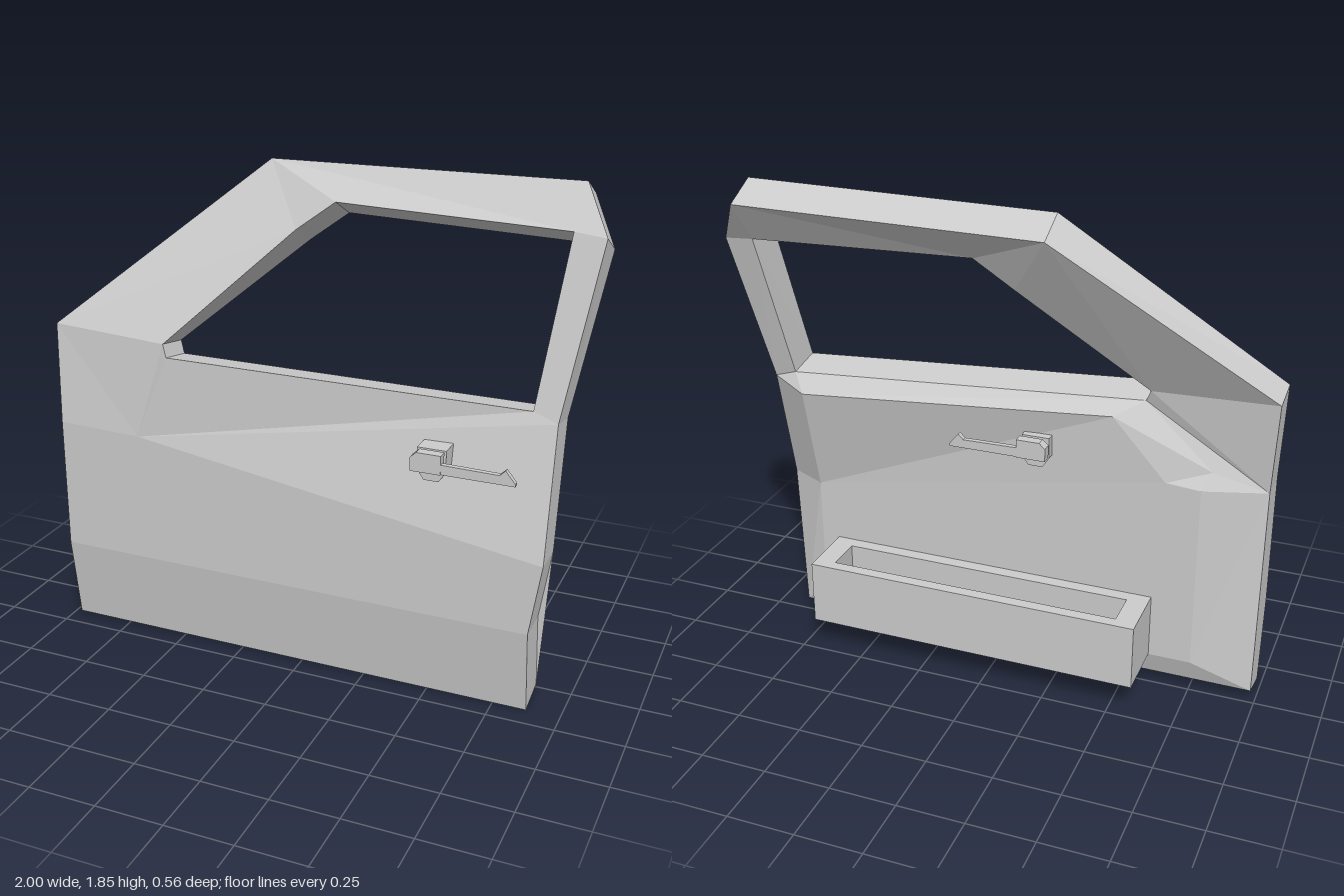
import * as THREE from 'three';

const material = new THREE.MeshStandardMaterial({ color: 0xcccccc, flatShading: true });

function addMesh(parent, name, geometry) {
  const mesh = new THREE.Mesh(geometry, material);
  mesh.name = name;
  parent.add(mesh);
  return mesh;
}

// Turns convex polygons (lists of points) into a flat shaded geometry
function polygons(faces) {
  const pos = [];
  for (const f of faces)
    for (let i = 1; i < f.length - 1; i++) pos.push(...f[0], ...f[i], ...f[i + 1]);
  const g = new THREE.BufferGeometry();
  g.setAttribute('position', new THREE.Float32BufferAttribute(pos, 3));
  g.computeVertexNormals();
  return g;
}

function extrude(points, depth, z = 0, hole = null) {
  const shape = new THREE.Shape(points.map(p => new THREE.Vector2(...p)));
  if (hole) shape.holes.push(new THREE.Path(hole.map(p => new THREE.Vector2(...p))));
  return new THREE.ExtrudeGeometry(shape, { depth, bevelEnabled: false }).translate(0, 0, z);
}

const rect = (x0, y0, x1, y1) => [[x0, y0], [x1, y0], [x1, y1], [x0, y1]];

// Moves each point back through the door thickness: [dy, dz] per point
const inward = (pts, offsets) => pts.map((p, i) => [p[0], p[1] + offsets[i][0], p[2] + offsets[i][1]]);

// Walls joining an outer loop to its inner loop
const walls = (a, b) => a.map((p, i) => {
  const j = (i + 1) % a.length;
  return [p, a[j], b[j], b[i]];
});

// Window frame faces, shared by the outer and inner skins
const frame = (a, w) => [
  [a[3], w[1], w[2], a[4]], [a[4], w[2], w[3]], [a[4], w[3], w[4], a[5]],
  [a[5], w[4], a[6]], [a[6], w[4], w[5], a[7]],
];

function buildDoor(group) {
  // Outer outline, clockwise from the lower front corner
  const A = [
    [-0.98, 0, 0.165], [-0.98, 0.33, 0.21], [-0.98, 0.84, 0.21], [-1, 1.22, 0.17],
    [-0.25, 1.84, -0.15], [0.9, 1.85, -0.15], [1, 1.69, -0.04], [0.91, 1.08, 0.1],
    [0.915, 0.6, 0.21], [0.875, 0.33, 0.21], [0.875, 0, 0.165],
  ];
  // Window opening, clockwise from its lower front corner
  const W = [
    [-0.52, 1.155, 0.2], [-0.54, 1.2, 0.185], [-0.1, 1.62, -0.02],
    [0.04, 1.725, -0.05], [0.885, 1.7, -0.05], [0.82, 1.11, 0.09],
  ];
  const M = [-0.65, 0.83, 0.21];
  const low = [0.03, -0.135], mid = [0, -0.14], sill = [-0.025, -0.14], top = [-0.065, -0.13];
  const B = inward(A, [low, mid, mid, sill, top, top, top, sill, mid, mid, low]);
  const V = inward(W, [sill, sill, top, top, top, sill]);

  addMesh(group, 'outerSkin', polygons([
    [A[0], A[10], A[9], A[1]],
    [A[1], A[9], A[8], M, A[2]],
    [M, A[8], A[7], W[5], W[0]],
    [M, W[0], W[1], A[3], A[2]],
    ...frame(A, W),
  ]));

  // Raised panel on the inside, with bevels around it
  const P0 = [-0.75, 0.12, 0], P1 = [0.77, 0.12, 0], P2 = [0.77, 0.6, 0];
  const P3 = [-0.75, 0.84, 0], Q = [-0.62, 0.85, 0], S = [-0.78, 0.9, 0.04];
  const R0 = [-0.42, 1.08, -0.01], R1 = [0.77, 1.02, -0.1];
  const inner = [
    [P0, P1, P2, Q, P3], [Q, P2, R1, R0],
    [B[0], B[10], P1, P0],
    [B[9], B[8], P2, P1, B[10]],
    [B[8], B[7], R1, P2],
    [R1, B[7], V[5]],
    [R0, R1, V[5], V[0]],
    [Q, R0, V[0], S],
    [P3, Q, S], [P3, S, B[2]],
    [S, V[0], V[1], B[3], B[2]],
    [B[1], B[0], P0, P3, B[2]],
    ...frame(B, V),
  ];
  addMesh(group, 'innerSkin', polygons(inner.map(f => [...f].reverse())));
  addMesh(group, 'doorEdge', polygons(walls(A, B)));
  addMesh(group, 'windowReveal', polygons(walls(V, W)));
}

// Open storage bin on the inside
function buildPocket(group) {
  const pocket = new THREE.Group();
  pocket.name = 'doorPocket';
  const rim = extrude(rect(-0.59, -0.02, 0.7, 0.235), 0.25, 0.12, rect(-0.51, 0.05, 0.62, 0.19));
  addMesh(pocket, 'pocketWalls', rim.rotateX(-Math.PI / 2));
  addMesh(pocket, 'pocketFloor', new THREE.BoxGeometry(1.17, 0.03, 0.18).translate(0.055, 0.14, -0.12));
  group.add(pocket);
}

// Base, stalk and lever; the lever points toward +x
function buildHandle(name) {
  const handle = new THREE.Group();
  handle.name = name;
  addMesh(handle, 'handleBase', extrude(
    [[0.455, 0.89], [0.48, 0.852], [0.535, 0.852], [0.56, 0.89], [0.56, 0.97], [0.455, 0.97]], 0.085, 0.13));
  addMesh(handle, 'handleStalk',
    new THREE.CylinderGeometry(0.015, 0.015, 0.05, 8).rotateX(Math.PI / 2).translate(0.51, 0.94, 0.23));
  addMesh(handle, 'handleGrip', extrude(
    [[0.45, 0.905], [0.56, 0.905], [0.56, 0.975], [0.472, 0.975], [0.45, 0.955]], 0.038, 0.238));
  addMesh(handle, 'handleLever', extrude(
    [[0.55, 0.907], [0.82, 0.907], [0.82, 0.917], [0.785, 0.96], [0.765, 0.94], [0.55, 0.943]], 0.02, 0.255));
  return handle;
}

export function createModel() {
  const model = new THREE.Group();
  model.name = 'carDoor';
  buildDoor(model);
  buildPocket(model);
  model.add(buildHandle('outerHandle'));

  // Same handle facing inward, set further forward
  const innerHandle = buildHandle('innerHandle');
  innerHandle.scale.z = -1;
  innerHandle.position.set(-0.65, 0, 0.175);
  model.add(innerHandle);
  return model;
}
